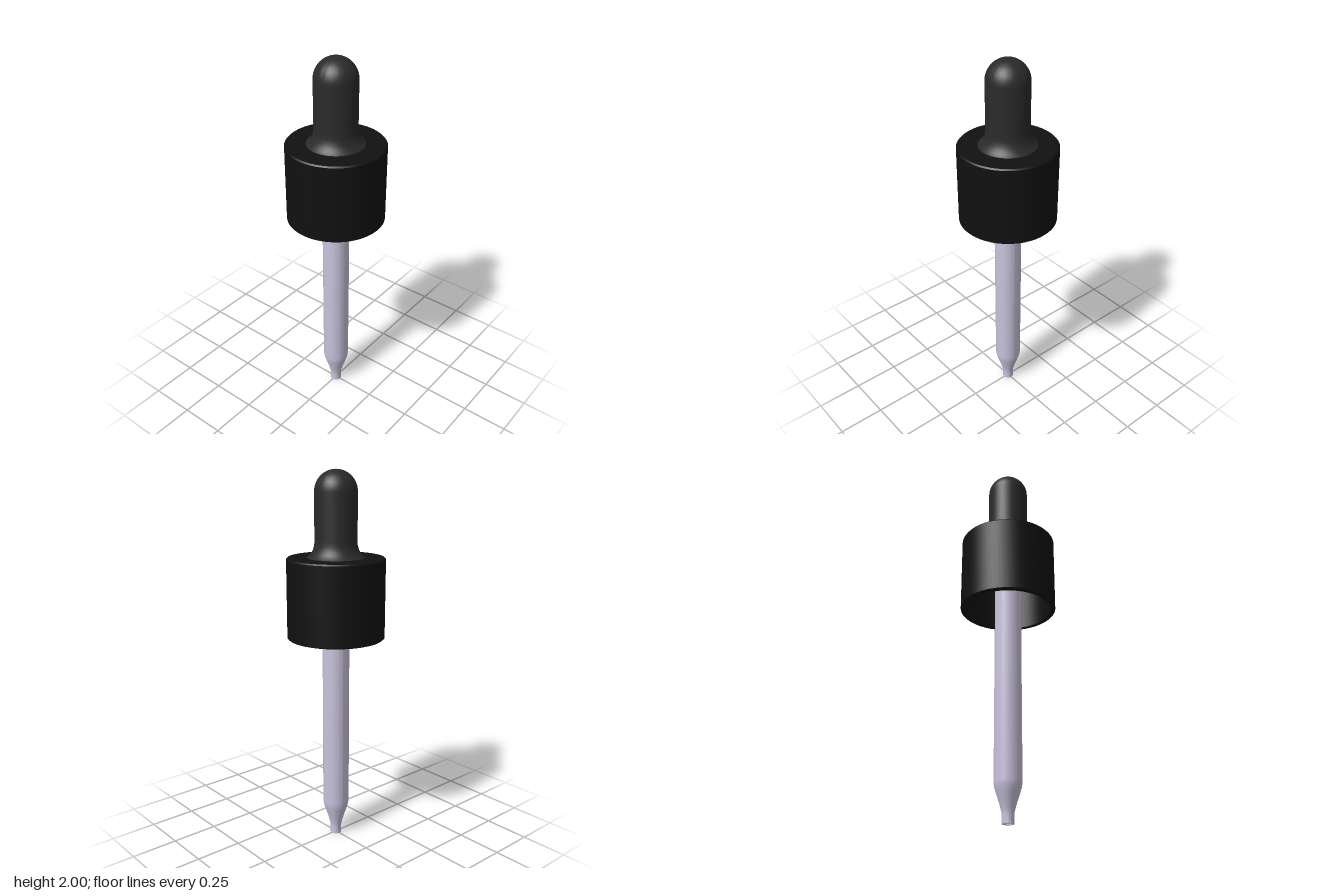
import * as THREE from 'three';
import { toCreasedNormals } from 'three/addons/utils/BufferGeometryUtils.js';

// Revolve a [radius, height] profile; outer walls run upward.
function turned(name, profile, color, creaseAngle = 0.6) {
  const points = profile.map(([r, y]) => new THREE.Vector2(r, y));
  const geometry = toCreasedNormals(new THREE.LatheGeometry(points, 64), creaseAngle);
  const material = new THREE.MeshStandardMaterial({ color, side: THREE.DoubleSide });
  const mesh = new THREE.Mesh(geometry, material);
  mesh.name = name;
  return mesh;
}

// Points of a circular arc in the profile plane
function arc(cx, cy, radius, from, to, steps) {
  return Array.from({ length: steps + 1 }, (_, i) => {
    const a = from + ((to - from) * i) / steps;
    return [Math.max(0, cx + radius * Math.cos(a)), cy + radius * Math.sin(a)];
  });
}

export function createModel() {
  const group = new THREE.Group();
  group.name = 'dropper';

  // Hollow screw cap with a hole for the bulb and softened rims
  group.add(turned('cap', [
    [0.15, 1.56], [0.15, 1.52], [0.228, 1.52], [0.228, 1.14], [0.252, 1.14],
    [0.256, 1.144], [0.256, 1.553], [0.25, 1.56], [0.15, 1.56],
  ], 0x111111));

  // Rubber bulb: collar, flared foot, straight wall and domed end
  group.add(turned('bulb', [
    [0.06, 1.52], [0.149, 1.52], [0.149, 1.562],
    [0.136, 1.572], [0.126, 1.585], [0.117, 1.602], [0.111, 1.625], [0.11, 1.65],
    ...arc(0, 1.89, 0.11, 0, Math.PI / 2, 16),
  ], 0x2a2a2a));

  // Glass tube, tapering to an open tip, with its bore
  const outer = [
    [0.03, 0], [0.03, 0.045], [0.034, 0.065], [0.045, 0.105],
    [0.06, 0.15], [0.068, 0.178], [0.071, 0.2], [0.071, 1.56],
  ];
  const bore = outer.map(([r, y]) => [r - 0.008, y]).reverse();
  group.add(turned('pipette', [...outer, ...bore, outer[0]], 0xcdc6e0));

  return group;
}
